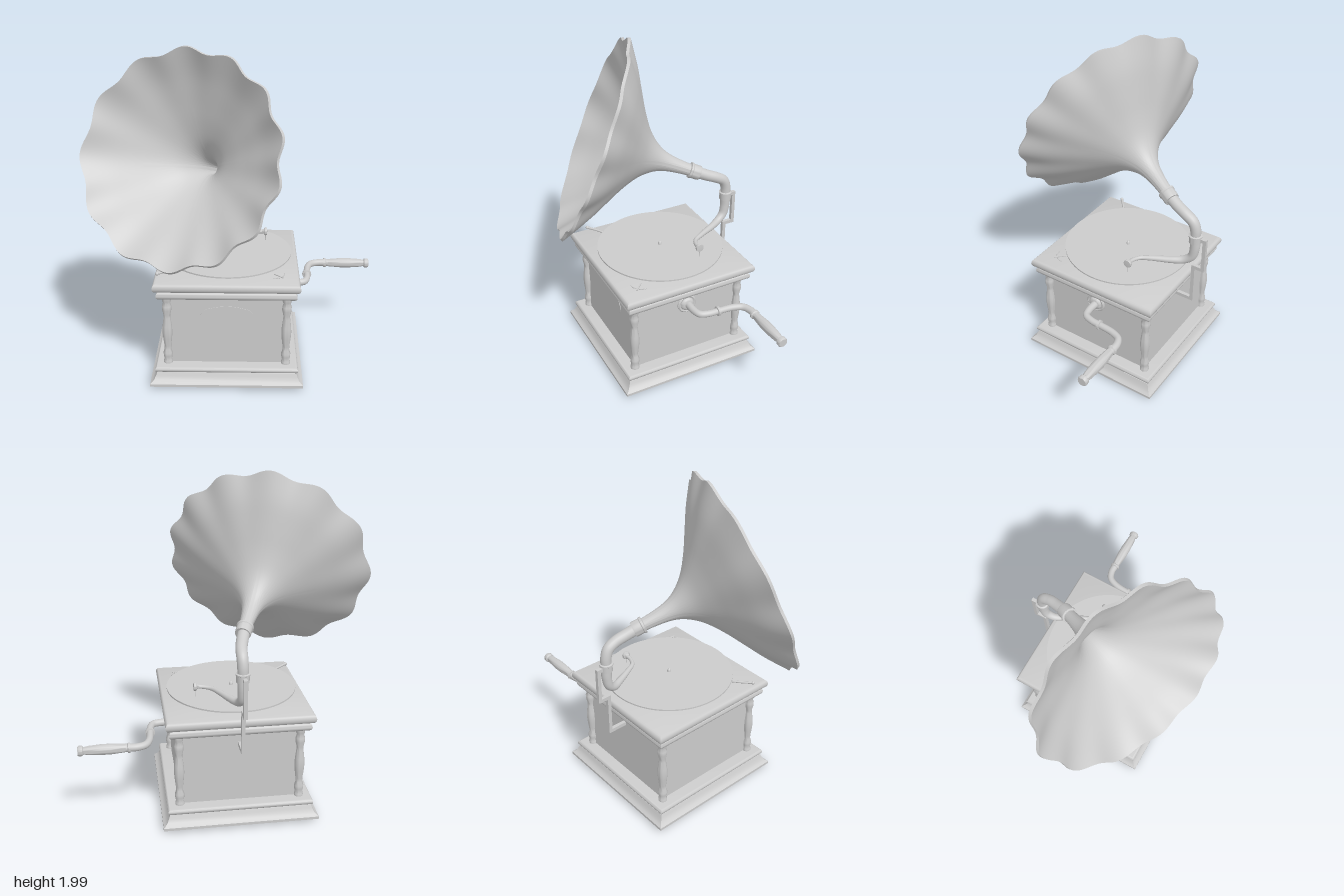
import * as THREE from 'three';
import { toCreasedNormals } from 'three/addons/utils/BufferGeometryUtils.js';

const mat = new THREE.MeshStandardMaterial({ color: 0xcccccc, side: THREE.DoubleSide });
const V = (x, y, z) => new THREE.Vector3(x, y, z);
const V2 = (pts) => pts.map(([x, y]) => new THREE.Vector2(x, y));

function add(parent, name, geo, x = 0, y = 0, z = 0) {
  const m = new THREE.Mesh(geo, mat);
  m.name = name;
  m.position.set(x, y, z);
  parent.add(m);
  return m;
}

// Turned part around y; pairs are [radius, height]
const turned = (pts, seg = 32, crease = 0.7) =>
  toCreasedNormals(new THREE.LatheGeometry(V2(pts), seg), crease);

// Square moulding: profile swept round four mitred sides; pairs are [half width, height]
function squareMoulding(pts) {
  const g = new THREE.LatheGeometry(V2(pts.map(([r, y]) => [r * Math.SQRT2, y])), 4);
  return toCreasedNormals(g.rotateY(Math.PI / 4), 0.75);
}

// Rounded bead as profile points between two heights
function bead(half, y0, y1, depth, n = 8) {
  const out = [];
  for (let i = 0; i <= n; i++) {
    const a = -Math.PI / 2 + (i / n) * Math.PI;
    out.push([half - depth + depth * Math.cos(a), (y0 + y1) / 2 + ((y1 - y0) / 2) * Math.sin(a)]);
  }
  return out;
}

// Tube whose radius follows radius(t)
function taperedTube(pts, radius, seg = 64, sides = 20) {
  const curve = new THREE.CatmullRomCurve3(pts);
  const g = new THREE.TubeGeometry(curve, seg, 1, sides);
  const p = g.attributes.position, v = V(0, 0, 0);
  for (let i = 0; i < p.count; i++) {
    const t = Math.floor(i / (sides + 1)) / seg;
    const c = curve.getPointAt(t);
    v.fromBufferAttribute(p, i).sub(c).multiplyScalar(radius(t)).add(c);
    p.setXYZ(i, v.x, v.y, v.z);
  }
  return g;
}

function makeCabinet() {
  const g = new THREE.Group();
  g.name = 'cabinet';
  add(g, 'baseMoulding', squareMoulding([
    [0, 0.018], [0.46, 0.018], [0.46, 0.034], [0.448, 0.043], [0.436, 0.055], [0.427, 0.075],
    [0.42, 0.092], [0.41, 0.096], ...bead(0.43, 0.097, 0.132, 0.016), [0, 0.132]]));
  add(g, 'body', new THREE.BoxGeometry(0.704, 0.46, 0.704), 0, 0.355, 0);
  add(g, 'topMoulding', squareMoulding([
    [0, 0.575], ...bead(0.413, 0.575, 0.625, 0.022), [0.405, 0.628],
    ...bead(0.432, 0.63, 0.685, 0.02), [0, 0.685]]));

  // Corner columns and feet
  const column = turned([[0.027, 0.13], [0.027, 0.145], [0.022, 0.155], [0.027, 0.18], [0.028, 0.2],
    [0.02, 0.225], [0.021, 0.25], [0.027, 0.3], [0.03, 0.34], [0.028, 0.38], [0.021, 0.435],
    [0.02, 0.455], [0.028, 0.49], [0.028, 0.515], [0.021, 0.535], [0.027, 0.55], [0.027, 0.58]], 24, 1);
  for (const sx of [-1, 1]) for (const sz of [-1, 1]) {
    add(g, 'cornerColumn', column, sx * 0.356, 0, sz * 0.356);
    add(g, 'foot', new THREE.BoxGeometry(0.105, 0.02, 0.105), sx * 0.377, 0.01, sz * 0.377);
  }

  // Front plaque
  const s = new THREE.Shape();
  s.moveTo(-0.16, 0);
  s.quadraticCurveTo(-0.15, 0.05, -0.1, 0.055);
  s.quadraticCurveTo(0, 0.085, 0.1, 0.055);
  s.quadraticCurveTo(0.15, 0.05, 0.16, 0);
  s.quadraticCurveTo(0.15, -0.05, 0.1, -0.055);
  s.quadraticCurveTo(0, -0.085, -0.1, -0.055);
  s.quadraticCurveTo(-0.15, -0.05, -0.16, 0);
  add(g, 'frontPlaque', new THREE.ExtrudeGeometry(s, { depth: 0.005, bevelEnabled: false }), 0, 0.44, 0.35);
  return g;
}

function makeTurntable() {
  const g = new THREE.Group();
  g.name = 'turntable';
  add(g, 'platter', new THREE.CylinderGeometry(0.33, 0.33, 0.008, 64), 0, 0.689, 0);
  add(g, 'hub', new THREE.CylinderGeometry(0.03, 0.03, 0.03, 24), 0, 0.7, 0);
  add(g, 'record', new THREE.CylinderGeometry(0.392, 0.392, 0.009, 96), 0, 0.716, 0);
  add(g, 'spindle', turned([[0.012, 0.715], [0.012, 0.725], [0.008, 0.738], [0, 0.744]], 16));
  // Brake lever and speed pointer
  add(g, 'brakeLever', taperedTube(
    [V(-0.41, 0.705, 0.32), V(-0.35, 0.701, 0.27), V(-0.21, 0.69, 0.18)], (t) => 0.008 - 0.003 * t, 16, 10));
  add(g, 'leverTip', new THREE.SphereGeometry(0.011, 16, 10), -0.41, 0.705, 0.32);
  const dial = new THREE.Group();
  dial.name = 'speedDial';
  dial.position.set(0.307, 0.687, 0.3);
  dial.rotation.y = Math.PI / 4;
  add(dial, 'dialArc', new THREE.TorusGeometry(0.07, 0.003, 6, 24, 1.6)
    .rotateZ(Math.PI / 2 - 0.8).rotateX(Math.PI / 2), 0, 0, -0.05);
  add(dial, 'dialPointer', new THREE.BoxGeometry(0.008, 0.006, 0.07));
  g.add(dial);
  return g;
}

function makeCrank() {
  const g = new THREE.Group();
  g.name = 'crank';
  const y = 0.495;
  add(g, 'crankPlate', turned([[0, 0], [0.062, 0], [0.062, 0.008], [0.054, 0.014], [0.044, 0.01],
    [0.038, 0.022], [0.03, 0.026], [0, 0.026]]).rotateZ(-Math.PI / 2), 0.323, y, -0.06);
  add(g, 'crankArm', taperedTube([V(0.32, y, -0.065), V(0.41, y, -0.065), V(0.455, y, -0.08),
    V(0.475, y, -0.13), V(0.48, y, -0.2), V(0.49, y, -0.29), V(0.515, y, -0.345), V(0.56, y, -0.366),
    V(0.63, y, -0.367)], (t) => 0.024 - 0.004 * Math.sin(Math.PI * t)));
  add(g, 'crankCollar', turned([[0.02, -0.009], [0.029, -0.007], [0.029, 0.007], [0.02, 0.009]])
    .rotateX(Math.PI / 2), 0.479, y, -0.19);
  add(g, 'crankHandle', turned([[0, 0], [0.03, 0], [0.03, 0.012], [0.023, 0.018], [0.026, 0.05],
    [0.031, 0.11], [0.031, 0.17], [0.026, 0.24], [0.021, 0.265], [0.03, 0.272], [0.031, 0.29],
    [0.026, 0.298], [0, 0.298]], 32, 0.8).rotateZ(-Math.PI / 2), 0.602, y, -0.367);
  return g;
}

const throat = V(-0.06, 1.155, -0.32);
const hornAxis = V(-0.365, 0.372, 0.854).normalize();

function makeHorn() {
  const g = new THREE.Group();
  g.name = 'horn';
  // Flared profile, doubled to give the sheet a thickness
  const flare = new THREE.SplineCurve(V2([[0.036, 0], [0.042, 0.1], [0.058, 0.2], [0.092, 0.275],
    [0.155, 0.35], [0.255, 0.425], [0.375, 0.498], [0.5, 0.575], [0.62, 0.665]])).getPoints(32);
  const inner = flare.map((p) => new THREE.Vector2(
    p.x - 0.012 * (1 - 0.6 * p.x), p.y + 0.016 * p.x / 0.62)).reverse();
  const geo = new THREE.LatheGeometry([...flare, ...inner], 208);

  // Scalloped rim: waves grow towards the edge
  const p = geo.attributes.position, top = 86 * Math.PI / 180;
  for (let i = 0; i < p.count; i++) {
    const x = p.getX(i), z = p.getZ(i), r = Math.hypot(x, z), a = Math.atan2(-z, x);
    const wave = Math.cos(13 * (a - top) + 1.57 * (Math.sin(a) - Math.sin(top)));
    const k = 1 + 0.03 * Math.pow(r / 0.62, 3) * wave;
    p.setX(i, x * k);
    p.setZ(i, z * k);
  }
  add(g, 'hornBell', toCreasedNormals(geo, 0.8));
  add(g, 'hornCollar', turned([[0.03, -0.03], [0.044, -0.03], [0.046, -0.02], [0.046, 0.02],
    [0.05, 0.024], [0.05, 0.036], [0.036, 0.04]]));

  const X = V(1, 0, 0).addScaledVector(hornAxis, -hornAxis.x).normalize();
  const Z = new THREE.Vector3().crossVectors(X, hornAxis);
  g.quaternion.setFromRotationMatrix(new THREE.Matrix4().makeBasis(X, hornAxis, Z));
  g.position.copy(throat);
  return g;
}

function makeToneArm() {
  const g = new THREE.Group();
  g.name = 'toneArm';
  add(g, 'neck', taperedTube([V(-0.022, 0.94, -0.525), V(-0.022, 1.02, -0.523), V(-0.021, 1.068, -0.503),
    V(-0.024, 1.098, -0.455), V(-0.038, 1.122, -0.395), throat.clone().addScaledVector(hornAxis, 0.02)],
  (t) => 0.031 + 0.005 * t));
  add(g, 'swivelCollar', turned([[0.028, -0.025], [0.037, -0.023], [0.037, 0.015], [0.041, 0.018],
    [0.041, 0.026], [0.03, 0.03]]), -0.022, 0.955, -0.525);
  add(g, 'arm', taperedTube([V(-0.022, 0.96, -0.525), V(-0.022, 0.88, -0.525), V(-0.02, 0.82, -0.51),
    V(-0.008, 0.785, -0.465), V(0.025, 0.777, -0.4), V(0.075, 0.777, -0.3), V(0.115, 0.777, -0.235),
    V(0.16, 0.78, -0.213), V(0.205, 0.784, -0.21)], (t) => 0.033 - 0.021 * Math.min(1, t * 1.15)));
  add(g, 'soundHead', turned([[0, -0.02], [0.012, -0.02], [0.016, -0.008], [0.024, -0.004], [0.026, 0.004],
    [0.024, 0.012], [0, 0.014]], 28).rotateZ(-Math.PI / 2), 0.205, 0.784, -0.21);
  add(g, 'needle', new THREE.CylinderGeometry(0.003, 0.001, 0.05, 8), 0.208, 0.745, -0.21);

  // Stepped square-bar bracket; pairs are [z, y]
  const path = [[-0.53, 0.955], [-0.587, 0.955], [-0.587, 0.748], [-0.525, 0.748], [-0.525, 0.5], [-0.4, 0.5]];
  for (let i = 0; i < path.length - 1; i++) {
    const [z0, y0] = path[i], [z1, y1] = path[i + 1], w = 0.022;
    add(g, 'bracketBar', new THREE.BoxGeometry(w, Math.abs(y1 - y0) + w, Math.abs(z1 - z0) + w),
      -0.027, (y0 + y1) / 2, (z0 + z1) / 2);
  }
  return g;
}

export function createModel() {
  const model = new THREE.Group();
  model.name = 'gramophone';
  const cabinet = makeCabinet(), turntable = makeTurntable();
  for (const part of [cabinet, turntable]) part.position.set(-0.027, 0, -0.06);
  model.add(cabinet, turntable, makeCrank(), makeHorn(), makeToneArm());
  return model;
}
